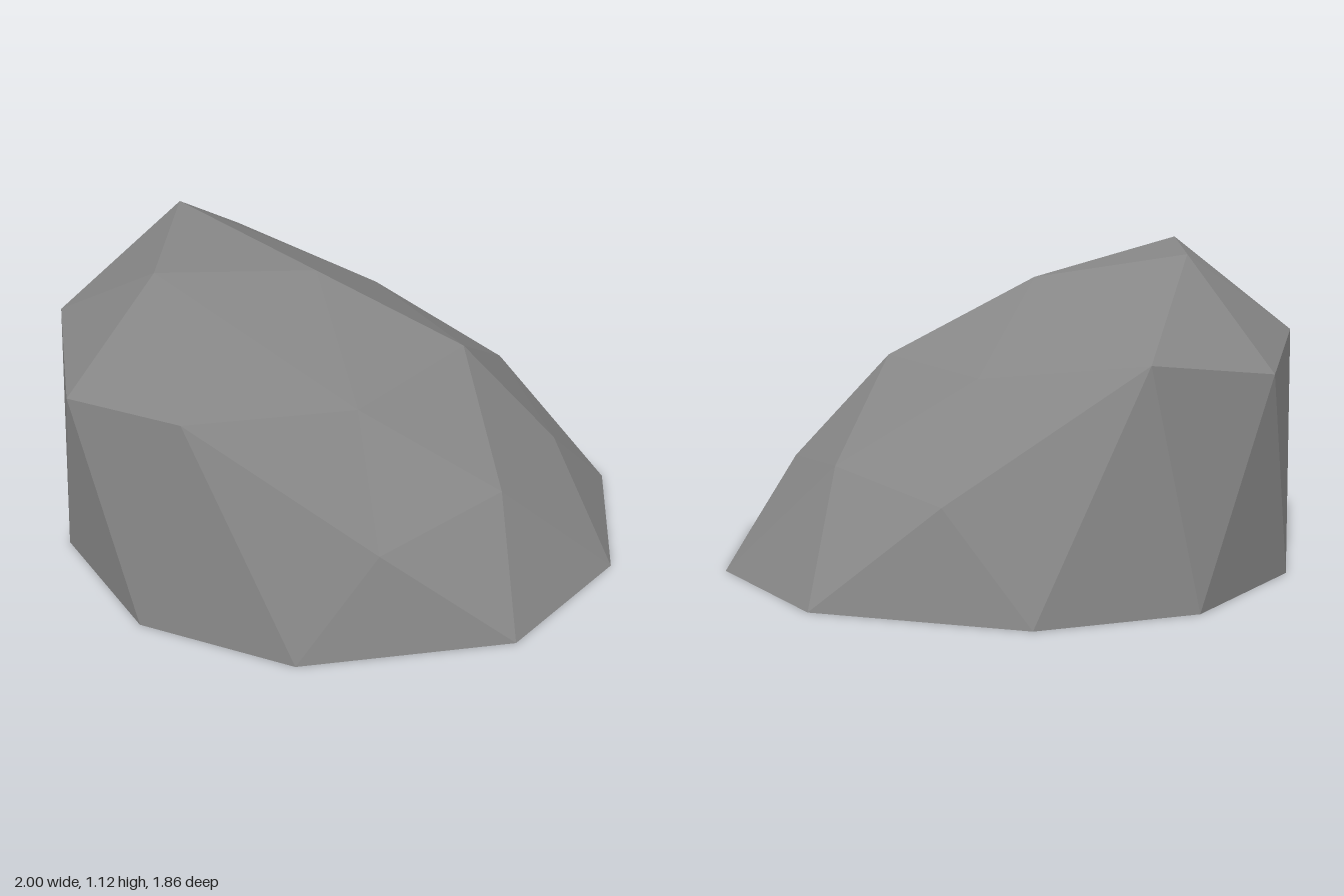
import * as THREE from 'three';

// Rings of the faceted dome, each running counter-clockwise seen from above
const apex = [-0.09, 1.0, 0.0];
const crown = [
  [-0.59, 1.115, 0.31], [0.11, 0.72, 0.45], [0.43, 0.72, -0.03],
  [0.07, 0.72, -0.48], [-0.62, 1.115, -0.26],
];
const shoulder = [
  [-0.86, 0.74, 0.53], [-0.42, 0.815, 0.77], [0.22, 0.36, 0.77], [0.60, 0.42, 0.43],
  [0.77, 0.35, -0.05], [0.55, 0.42, -0.50], [0.16, 0.36, -0.80], [-0.50, 0.815, -0.73],
  [-0.91, 0.74, -0.44], [-1.0, 0.815, 0.05],
];
const rim = [
  [-0.60, 0, 0.77], [-0.04, 0, 0.925], [0.68, 0, 0.71], [1.0, 0, 0.23], [0.97, 0, -0.35],
  [0.60, 0, -0.79], [-0.14, 0, -0.93], [-0.67, 0, -0.72], [-0.985, 0, -0.24], [-0.96, 0, 0.33],
];

function buildRockGeometry() {
  const positions = [];
  const face = (a, b, c) => positions.push(...a, ...b, ...c);

  // Cap: five wedges of four facets around the apex
  for (let i = 0; i < 5; i++) {
    const a = crown[i], b = crown[(i + 1) % 5];
    const corner = shoulder[2 * i], mid = shoulder[2 * i + 1], next = shoulder[(2 * i + 2) % 10];
    face(apex, a, b);
    face(a, mid, b);
    face(a, corner, mid);
    face(b, mid, next);
  }
  // Wall: zigzag of facets from shoulder down to the open rim
  for (let k = 0; k < 10; k++) {
    face(shoulder[k], rim[k], shoulder[(k + 1) % 10]);
    face(shoulder[k], rim[(k + 9) % 10], rim[k]);
  }

  const geometry = new THREE.BufferGeometry();
  geometry.setAttribute('position', new THREE.Float32BufferAttribute(positions, 3));
  geometry.computeVertexNormals();
  return geometry;
}

export function createModel() {
  const stone = new THREE.MeshStandardMaterial({
    color: 0x888888, flatShading: true, side: THREE.DoubleSide,
  });
  stone.name = 'stone grey';

  // Hollow rock shell, open underneath
  const rock = new THREE.Mesh(buildRockGeometry(), stone);
  rock.name = 'rock';

  const group = new THREE.Group();
  group.name = 'boulder';
  group.add(rock);
  return group;
}
